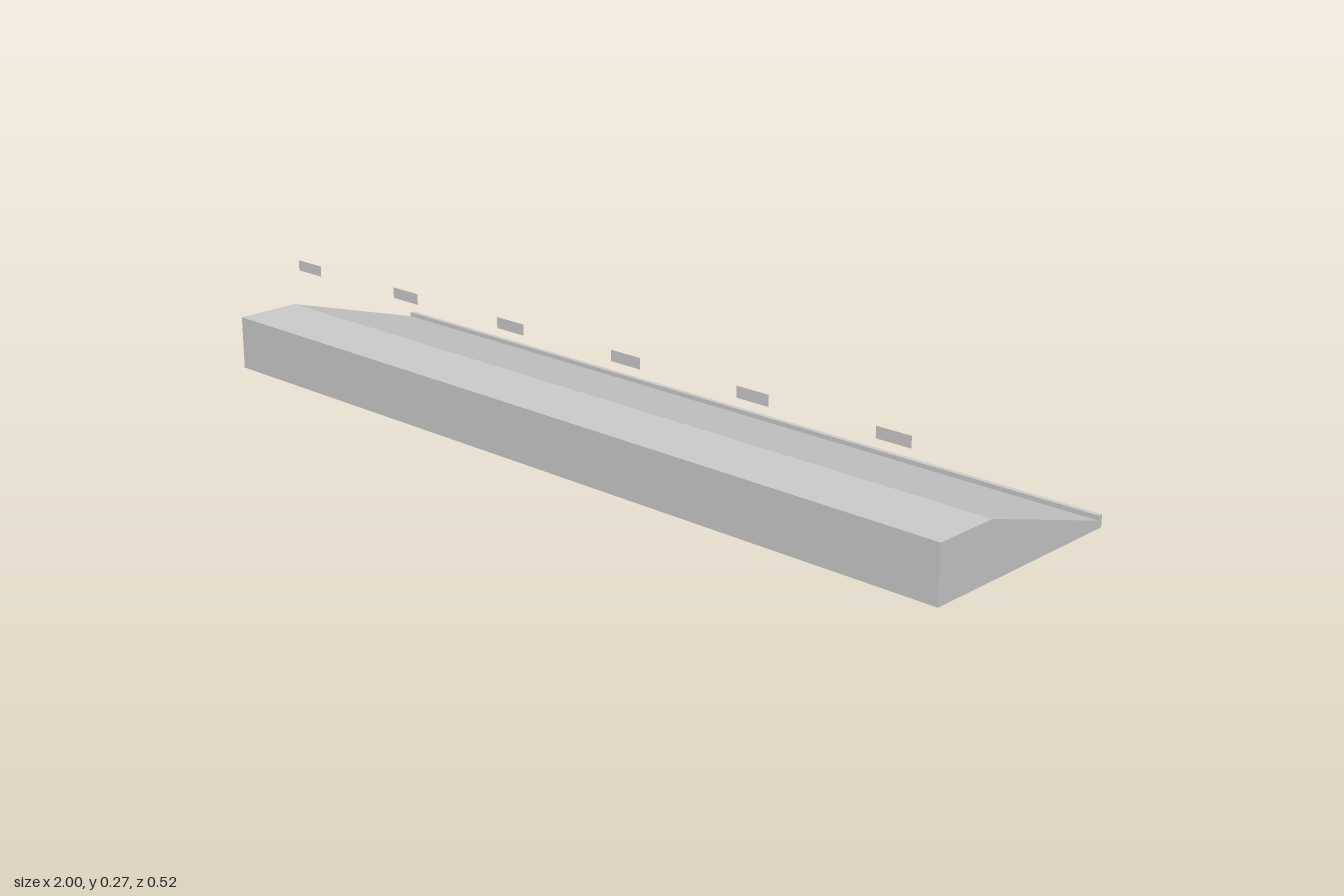
import * as THREE from 'three';

export function createModel() {
  const group = new THREE.Group();
  const grey = new THREE.MeshStandardMaterial({ color: 0xcccccc, side: THREE.DoubleSide });
  grey.name = 'plain grey';

  // Wedge base: side profile as (z, y), extruded along the full width
  const profile = [
    [-0.262, 0], [0.262, 0], [0.262, 0.123], [0.108, 0.123],
    [-0.251, 0.017], [-0.251, 0.027], [-0.262, 0.027],
  ];
  const shape = new THREE.Shape(profile.map(([z, y]) => new THREE.Vector2(z, y)));
  const baseGeometry = new THREE.ExtrudeGeometry(shape, { depth: 2, bevelEnabled: false });
  baseGeometry.translate(0, 0, -1).rotateY(-Math.PI / 2);
  const base = new THREE.Mesh(baseGeometry, grey);
  base.name = 'slopedBase';
  group.add(base);

  // Row of six thin plates floating above the flat ledge
  const plateGeometry = new THREE.PlaneGeometry(0.08, 0.024);
  for (let i = 0; i < 6; i++) {
    const plate = new THREE.Mesh(plateGeometry, grey);
    plate.name = `floatingPlate${i + 1}`;
    plate.position.set((i - 2.5) / 3, 0.257, 0.186);
    group.add(plate);
  }
  return group;
}
